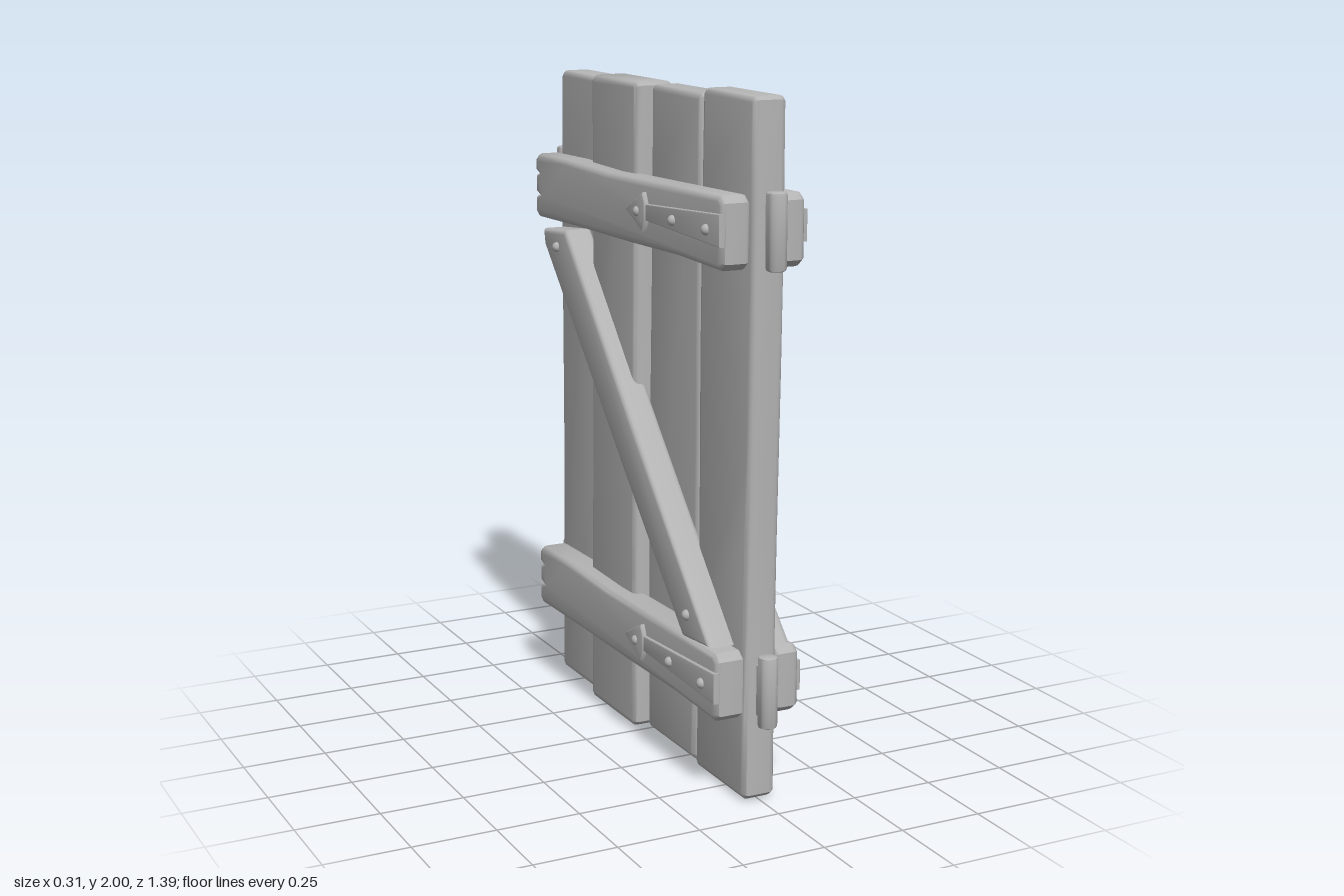
import * as THREE from 'three';
import { mergeVertices, toCreasedNormals } from 'three/addons/utils/BufferGeometryUtils.js';

const grey = new THREE.MeshStandardMaterial({ color: 0xb3b3b3 });
grey.name = 'grey';

// Plate with soft edges: outline given as [z, y] points, filling x0..x1
function slab(name, outline, x0, x1, bevel, lean = 0) {
  const shape = new THREE.Shape(outline.map(([z, y]) => new THREE.Vector2(-z, y)));
  let geo = new THREE.ExtrudeGeometry(shape, {
    depth: x1 - x0 - 2 * bevel, bevelThickness: bevel, bevelSize: bevel,
    bevelOffset: -bevel, bevelSegments: 3, steps: 1,
  });
  geo.rotateY(Math.PI / 2).translate(x0 + bevel, 0, 0);
  // lean the foot of the board sideways
  const p = geo.attributes.position;
  for (let i = 0; i < p.count; i++) p.setX(i, p.getX(i) - lean * (1 - p.getY(i) / 2));
  geo.deleteAttribute('uv');
  geo.deleteAttribute('normal');
  geo = toCreasedNormals(mergeVertices(geo, 1e-4), 0.7);
  const mesh = new THREE.Mesh(geo, grey);
  mesh.name = name;
  return mesh;
}

// Upright board with slightly wavy long edges
function plankOutline(z0, z1, y0, y1, phase) {
  const pts = [];
  const n = 8;
  const c = 0.014;
  const wave = (t) => 0.004 * Math.sin(t * 7 + phase);
  for (let i = 0; i <= n; i++) {
    const t = i / n;
    pts.push([z0 + wave(t) + 0.003, y0 + c + (y1 - y0 - 2 * c) * t]);
  }
  pts.push([z0 + 0.018, y1], [z1 - 0.018, y1 - 0.003]);
  for (let i = n; i >= 0; i--) {
    const t = i / n;
    pts.push([z1 + wave(t + 0.4) - 0.003, y0 + c + (y1 - y0 - 2 * c) * t]);
  }
  pts.push([z1 - 0.018, y0], [z0 + 0.018, y0]);
  return pts;
}

// Cross beam: wavy top and bottom, split at the rear end
function beamOutline(z0, z1, y0, y1) {
  const h = y1 - y0;
  return [
    [z1, y0 + 0.02], [z1, y1 - 0.02], [z1 - 0.025, y1], [0.3, y1 - 0.004], [-0.1, y1 - 0.01],
    [-0.4, y1 - 0.002], [z0 + 0.02, y1 - 0.004], [z0, y1 - 0.02],
    [z0, y0 + h * 0.7], [z0 + 0.025, y0 + h * 0.68], [z0, y0 + h * 0.66],
    [z0 + 0.002, y0 + h * 0.37], [z0 + 0.03, y0 + h * 0.35], [z0, y0 + h * 0.33],
    [z0, y0 + 0.015], [z0 + 0.02, y0], [-0.3, y0 + 0.004], [0.05, y0 + 0.004],
    [0.35, y0 + 0.008], [z1 - 0.025, y0],
  ];
}

// Tapered strap and its arrow point
const strapOutline = (y) => [[0.625, y - 0.04], [0.625, y + 0.05], [0.15, y + 0.024], [0.15, y - 0.02]];
const arrowOutline = (y) => [[0.18, y - 0.026], [0.165, y - 0.055], [0.055, y], [0.165, y + 0.058], [0.18, y + 0.028]];

function rivet(x, y, z) {
  const mesh = new THREE.Mesh(new THREE.SphereGeometry(0.016, 14, 10), grey);
  mesh.name = 'rivet';
  mesh.position.set(x, y, z);
  return mesh;
}

// Hinge barrel with rounded rims, and a leaf joining it to the board edge
function hinge(x, z, r, y0, y1) {
  const h = y1 - y0;
  const profile = [
    [0, 0], [r - 0.008, 0], [r - 0.002, 0.003], [r, 0.01],
    [r, h - 0.01], [r - 0.002, h - 0.003], [r - 0.008, h], [0, h],
  ].map(([px, py]) => new THREE.Vector2(px, py));
  const barrel = new THREE.Mesh(toCreasedNormals(new THREE.LatheGeometry(profile, 20), 0.7), grey);
  barrel.name = 'hingeBarrel';
  barrel.position.set(x, y0, z);
  const inner = z - Math.sign(z) * 0.045;
  const a = Math.min(z, inner);
  const b = Math.max(z, inner);
  const leaf = slab('hingeLeaf', [[a, y0 + 0.03], [b, y0 + 0.03], [b, y1 - 0.03], [a, y1 - 0.03]], x - 0.022, x + 0.022, 0.004);
  const group = new THREE.Group();
  group.name = 'hinge';
  group.add(barrel, leaf);
  return group;
}

// What differs between the two faces: beam depths, front end and brace
const faces = [
  {
    name: 'leftFace', side: 1, inner: 0.05, upper: 0.128, lower: 0.127, front: 0.635, braceOut: 0.11,
    brace: [[0.62, 0.44], [0.4, 0.44], [0.02, 0.83], [-0.625, 1.51], [-0.615, 1.535], [-0.44, 1.535], [0.1, 0.985]],
  },
  {
    name: 'rightFace', side: -1, inner: 0.035, upper: 0.124, lower: 0.132, front: 0.625, braceOut: 0.128,
    brace: [[0.57, 0.455], [0.4, 0.44], [0, 0.855], [-0.56, 1.45], [-0.57, 1.5], [-0.4, 1.515], [0.1, 0.965]],
  },
];

export function createModel() {
  const model = new THREE.Group();
  model.name = 'plankShutter';

  // Upright planks: z0, z1, y0, y1, x0, x1
  [
    [0.335, 0.645, 0.01, 2.0, -0.038, 0.062],
    [0.0, 0.325, 0.015, 1.987, -0.03, 0.067],
    [-0.33, -0.012, 0.01, 1.995, -0.067, 0.055],
    [-0.648, -0.338, 0.005, 1.987, -0.026, 0.077],
  ].forEach(([z0, z1, y0, y1, x0, x1], i) => {
    model.add(slab('plank', plankOutline(z0, z1, y0, y1, i * 1.9), x0, x1, 0.018, 0.014));
  });

  // Both faces carry two beams, a brace and two straps
  for (const { name, side, inner, upper, lower, front, braceOut, brace } of faces) {
    const face = new THREE.Group();
    face.name = name;
    const part = (label, outline, d0, d1, bevel) => {
      const [x0, x1] = side > 0 ? [d0, d1] : [-d1, -d0];
      face.add(slab(label, outline, x0, x1, bevel));
    };

    part('upperBeam', beamOutline(-0.635, front, 1.53, 1.735), inner, upper, 0.018);
    part('lowerBeam', beamOutline(-0.62, front, 0.25, 0.45), inner, lower, 0.018);
    part('brace', brace, inner, braceOut, 0.016);
    face.add(rivet(side * braceOut, 1.455, -0.457), rivet(side * braceOut, 0.515, 0.432));

    for (const [y, depth] of [[1.638, upper], [0.35, lower]]) {
      part('strap', strapOutline(y), depth - 0.01, depth + 0.01, 0.003);
      part('strapArrow', arrowOutline(y), depth - 0.01, depth + 0.014, 0.004);
      for (const z of [0.55, 0.35, 0.13]) face.add(rivet(side * (depth + 0.009), y, z));
    }
    model.add(face);
  }

  // Hinges on the front and rear edges
  model.add(
    hinge(0.018, 0.666, 0.029, 1.53, 1.745), hinge(-0.002, -0.668, 0.028, 1.53, 1.745),
    hinge(0.008, 0.666, 0.028, 0.232, 0.443), hinge(0, -0.656, 0.026, 0.232, 0.443),
  );
  return model;
}
